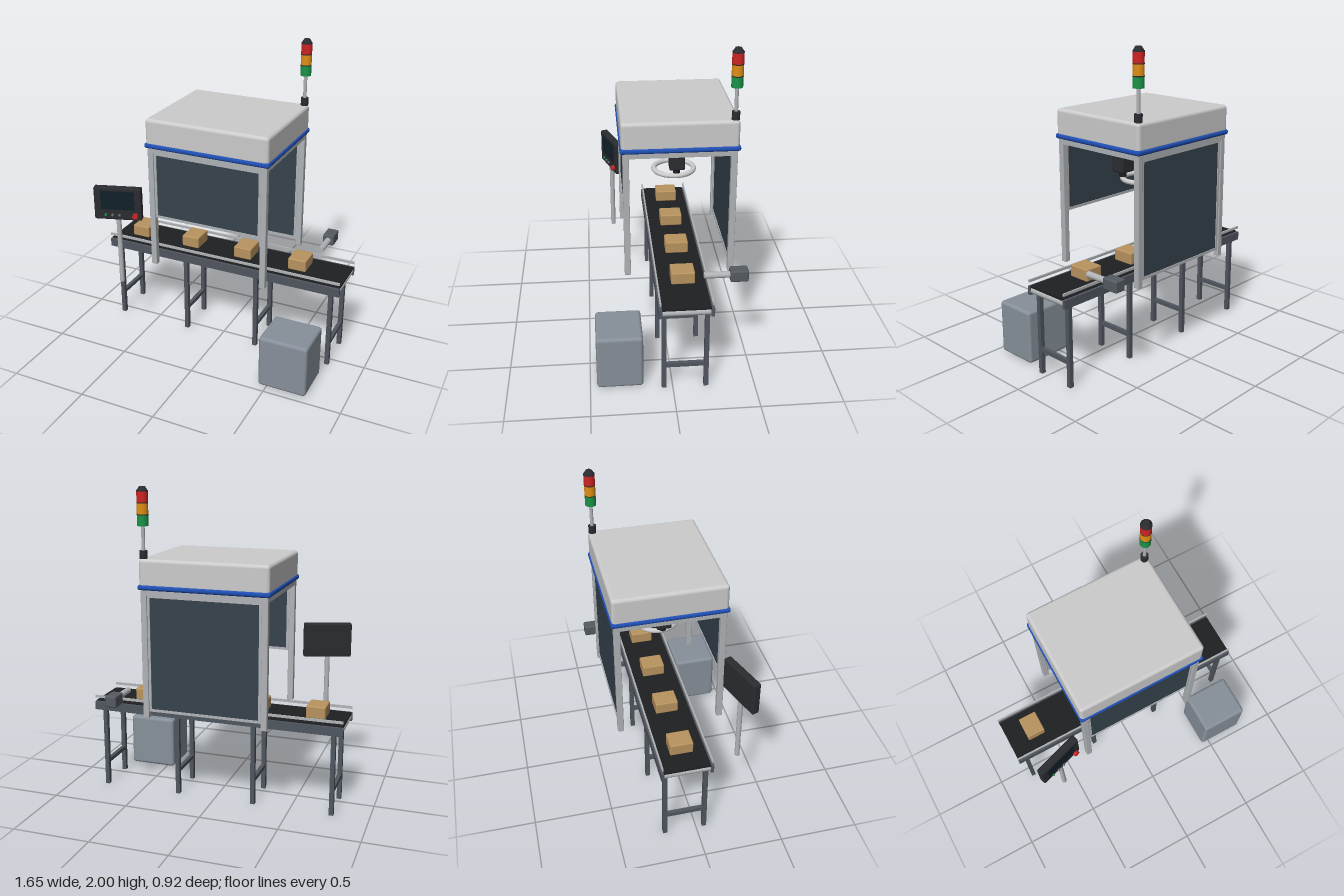
import * as THREE from 'three';
import { RoundedBoxGeometry } from 'three/addons/geometries/RoundedBoxGeometry.js';

const mat = (color) => new THREE.MeshStandardMaterial({ color });
const M = {
  shell: mat(0xcccccc), blue: mat(0x1f4fb5), alu: mat(0xb0b3b6), steel: mat(0x50565f),
  belt: mat(0x1e1f21), glass: mat(0x35424c), black: mat(0x2a2c30), screen: mat(0x12202a),
  carton: mat(0xb8935f), cabinet: mat(0x87909a), sensor: mat(0x555b62), light: mat(0xe8e8e8),
  red: mat(0xd02424), amber: mat(0xe09016), green: mat(0x1a9448), grey: mat(0x6a7078),
};

function add(parent, name, geo, material, x, y, z) {
  const mesh = new THREE.Mesh(geo, material);
  mesh.name = name;
  mesh.position.set(x, y, z);
  parent.add(mesh);
  return mesh;
}
const box = (w, h, d) => new THREE.BoxGeometry(w, h, d);
const rbox = (w, h, d, r) => new RoundedBoxGeometry(w, h, d, 3, r);
const cyl = (r, h, top = r) => new THREE.CylinderGeometry(top, r, h, 28);
function group(parent, name, x = 0, y = 0, z = 0) {
  const g = new THREE.Group();
  g.name = name;
  g.position.set(x, y, z);
  parent.add(g);
  return g;
}

function conveyor(root) {
  const g = group(root, 'conveyor', 0, 0, -0.075);
  add(g, 'beltTop', box(1.645, 0.012, 0.29), M.belt, 0, 0.584, 0);
  add(g, 'beltReturn', box(1.55, 0.02, 0.28), M.belt, 0, 0.548, 0);
  for (const s of [-1, 1]) {
    add(g, 'sideRail', box(1.65, 0.055, 0.02), M.steel, 0, 0.5575, s * 0.153);
    add(g, 'guideRail', box(1.65, 0.016, 0.01), M.alu, 0, 0.618, s * 0.153);
    add(g, 'endRoller', cyl(0.022, 0.286), M.alu, s * 0.8, 0.556, 0).rotation.x = Math.PI / 2;
  }
  // Four leg frames, each with a cross bar
  for (const x of [-0.765, -0.255, 0.255, 0.765]) {
    for (const s of [-1, 1]) add(g, 'leg', box(0.028, 0.535, 0.028), M.steel, x, 0.2675, s * 0.128);
    add(g, 'legCrossBar', box(0.025, 0.026, 0.256), M.steel, x, 0.162, 0);
  }
  for (const x of [-0.637, -0.255, 0.127, 0.508])
    add(g, 'carton', rbox(0.122, 0.078, 0.145, 0.008), M.carton, x, 0.636, -0.005);
}

// Dark pane in a thin frame
function framedPanel(parent, name, bottom, z) {
  const top = 1.357, w = 0.72, t = 0.016, h = top - bottom;
  const g = group(parent, name, 0, (top + bottom) / 2, z);
  add(g, 'pane', box(w - t, h - t, 0.01), M.glass, 0, 0, 0);
  for (const s of [-1, 1]) {
    add(g, 'frameRail', box(w, t, 0.02), M.alu, 0, s * (h - t) / 2, 0);
    add(g, 'frameStile', box(t, h, 0.02), M.alu, s * (w - t) / 2, 0, 0);
  }
}

function enclosure(root) {
  const g = group(root, 'enclosure', 0, 0, -0.075);
  add(g, 'hood', rbox(0.815, 0.175, 0.695, 0.022), M.shell, 0, 1.488, 0);
  add(g, 'blueTrim', rbox(0.83, 0.032, 0.71, 0.014), M.blue, 0, 1.403, 0);
  for (const sx of [-1, 1]) {
    for (const sz of [-1, 1])
      add(g, 'post', rbox(0.038, 0.812, 0.038, 0.004), M.alu, sx * 0.38, 0.983, sz * 0.32);
    add(g, 'sideTopRail', box(0.036, 0.034, 0.61), M.alu, sx * 0.38, 1.371, 0);
    add(g, 'endTopRail', box(0.73, 0.034, 0.036), M.alu, 0, 1.371, sx * 0.32);
  }
  framedPanel(g, 'frontDoor', 0.915, 0.322);
  framedPanel(g, 'backPanel', 0.62, -0.322);

  // Inspection cameras above a ring light
  for (const x of [-0.18, 0.18]) {
    const c = group(g, 'camera', x, 0, 0);
    add(c, 'cameraBody', rbox(0.095, 0.135, 0.095, 0.01), M.black, 0, 1.262, 0);
    add(c, 'cameraLens', cyl(0.022, 0.04), M.belt, 0, 1.184, 0);
  }
  add(g, 'ringLight', new THREE.TorusGeometry(0.127, 0.016, 14, 48), M.light, 0, 1.117, 0)
    .rotation.x = Math.PI / 2;
}

function stackLight(root) {
  const g = group(root, 'stackLight', 0.38, 0, -0.395);
  add(g, 'lightBase', cyl(0.024, 0.05), M.black, 0, 1.6, 0);
  add(g, 'lightPole', cyl(0.011, 0.16), M.alu, 0, 1.695, 0);
  [['green', 1.802], ['amber', 1.871], ['red', 1.94]].forEach(([c, y]) => {
    add(g, c + 'Lamp', cyl(0.034, 0.064), M[c], 0, y, 0);
    add(g, 'lampSpacer', cyl(0.0345, 0.006), M.black, 0, y + 0.0345, 0);
  });
  add(g, 'lightCap', cyl(0.033, 0.024, 0.018), M.black, 0, 1.988, 0);
}

function controlPanel(root) {
  add(root, 'panelPole', cyl(0.016, 0.47), M.alu, -0.608, 0.653, 0.306);
  const g = group(root, 'controlPanel', -0.605, 0.99, 0.305);
  g.rotation.y = 0.31;
  add(g, 'panelBody', rbox(0.31, 0.222, 0.05, 0.01), M.black, 0, 0, 0);
  add(g, 'panelScreen', box(0.22, 0.128, 0.006), M.screen, 0, 0.026, 0.025);
  const knob = (name, r, d, m, x) =>
    { add(g, name, cyl(r, d), m, x, -0.074, 0.025 + d / 2).rotation.x = Math.PI / 2; };
  [M.green, M.grey, M.grey].forEach((m, i) => knob('pushButton', 0.008, 0.01, m, -0.08 + i * 0.045));
  knob('stopButton', 0.018, 0.02, M.red, 0.115);
}

function sideSensor(root) {
  const g = group(root, 'sideSensor', 0.6, 0.673, 0);
  add(g, 'sensorHead', rbox(0.075, 0.074, 0.11, 0.01), M.sensor, 0, 0, -0.411);
  add(g, 'sensorRod', cyl(0.02, 0.17), M.alu, 0, 0, -0.285).rotation.x = Math.PI / 2;
}

export function createModel() {
  const root = new THREE.Group();
  root.name = 'inspectionStation';
  conveyor(root);
  enclosure(root);
  stackLight(root);
  controlPanel(root);
  sideSensor(root);
  add(root, 'cabinet', rbox(0.315, 0.35, 0.283, 0.02), M.cabinet, 0.602, 0.18, 0.317);
  return root;
}
